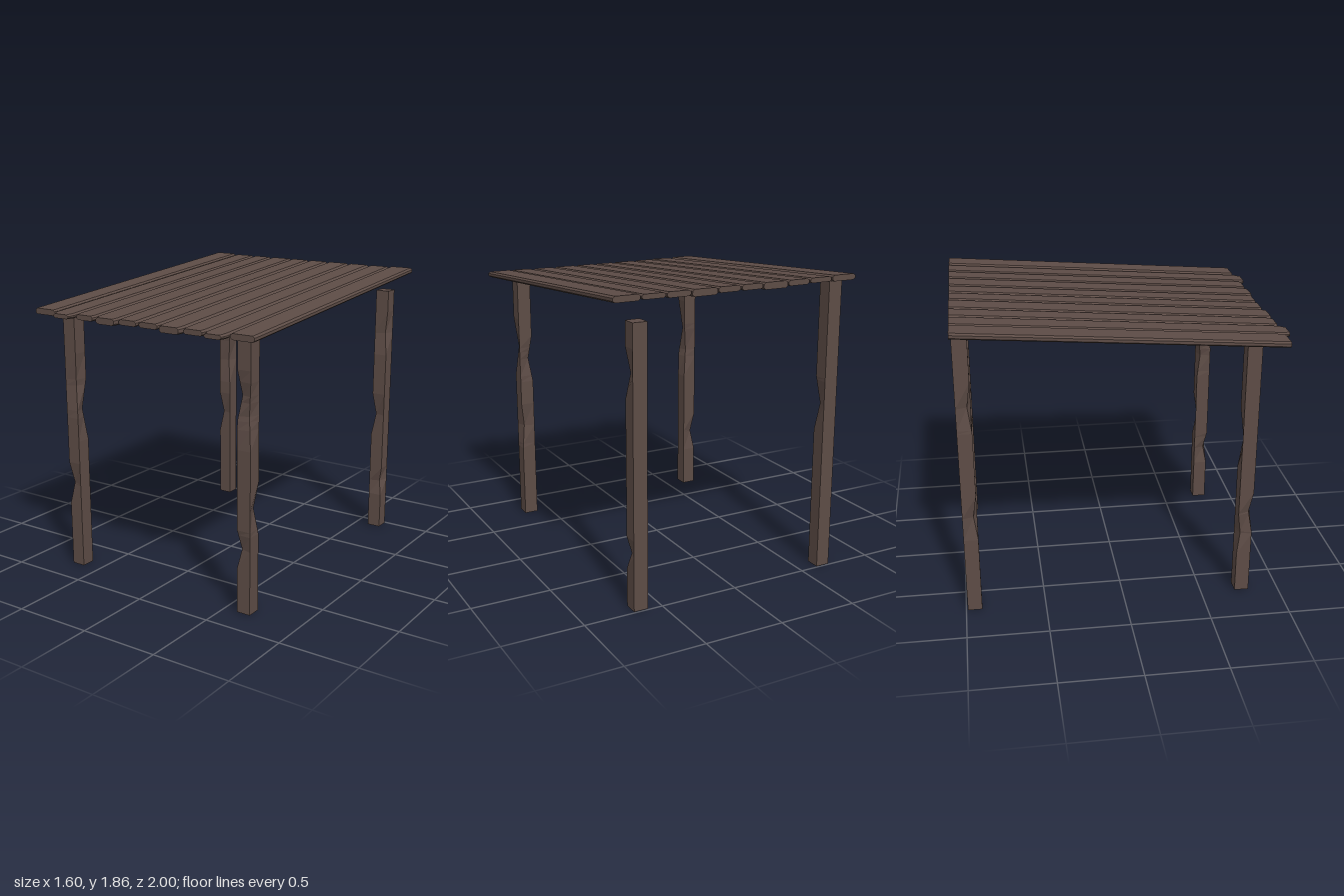
import * as THREE from 'three';

// Skin a list of rings (arrays of [x, y, z]) with flat faces and close both ends.
function loft(rings) {
  const p = [];
  const n = rings[0].length;
  for (let r = 0; r < rings.length - 1; r++) {
    const a = rings[r], b = rings[r + 1];
    for (let i = 0; i < n; i++) {
      const j = (i + 1) % n;
      p.push(...a[i], ...a[j], ...b[j], ...a[i], ...b[j], ...b[i]);
    }
  }
  const first = rings[0], last = rings[rings.length - 1];
  for (let i = 1; i < n - 1; i++) {
    p.push(...first[0], ...first[i + 1], ...first[i]);
    p.push(...last[0], ...last[i], ...last[i + 1]);
  }
  const g = new THREE.BufferGeometry();
  g.setAttribute('position', new THREE.Float32BufferAttribute(p, 3));
  g.computeVertexNormals();
  return g;
}

// Square post; each notch is [cornerX, cornerZ, height, halfLength].
const HALF = 0.045, DEPTH = 0.022;
function postGeometry(height, notches) {
  const ys = [0, height];
  for (const [, , y, h] of notches) ys.push(y - h, y, y + h);
  ys.sort((a, b) => a - b);
  const corners = [[1, 1], [1, -1], [-1, -1], [-1, 1]];
  return loft(ys.map((y) => corners.map(([sx, sz]) => {
    let cut = 0;
    for (const [nx, nz, ny, h] of notches) {
      if (nx === sx && nz === sz) cut = Math.max(cut, DEPTH * (1 - Math.abs(y - ny) / h));
    }
    return [sx * (HALF - cut), y, sz * (HALF - cut)];
  })));
}

// Roof plane: high at the back, low at the front.
const roofY = (z) => 1.86 - 0.0742 * (z + 1);

// Bevelled plank along z, narrowing at its front end.
function plankGeometry(x0, x1, front, thick, drop, taper) {
  const ring = (z, inset, pinch) => {
    const l = x0 + inset, r = x1 - inset, bx = 0.014, by = 0.01;
    const t = roofY(z) - drop - pinch, b = roofY(z) - drop - thick + pinch;
    return [
      [l + bx, b, z], [r - bx, b, z], [r, b + by, z], [r, t - by, z],
      [r - bx, t, z], [l + bx, t, z], [l, t - by, z], [l, b + by, z],
    ];
  };
  return loft([ring(-1, 0, 0), ring(front - taper * 2.5, 0, 0), ring(front, taper, taper * 0.1)]);
}

export function createModel() {
  const group = new THREE.Group();
  const wood = new THREE.MeshStandardMaterial({ color: 0x5d4c46 });
  wood.name = 'darkWood';

  const add = (name, geometry, parent) => {
    const mesh = new THREE.Mesh(geometry, wood);
    mesh.name = name;
    parent.add(mesh);
    return mesh;
  };

  // Posts: name, x, z, height, hewn notches
  const posts = [
    ['frontRightPost', -0.665, 0.765, 1.7,
      [[1, 1, 1.21, 0.21], [-1, 1, 0.56, 0.14], [1, -1, 1.05, 0.2], [-1, -1, 0.41, 0.14]]],
    ['frontLeftPost', 0.635, 0.765, 1.7,
      [[1, 1, 1.21, 0.2], [1, -1, 0.65, 0.16], [-1, 1, 1.33, 0.15], [-1, 1, 0.4, 0.12], [-1, -1, 1.13, 0.16]]],
    ['backLeftPost', 0.635, -0.945, 1.705,
      [[1, 1, 1.41, 0.15], [1, 1, 0.34, 0.1], [-1, 1, 0.83, 0.15]]],
    ['backRightPost', -0.665, -0.945, 1.825,
      [[-1, 1, 1.37, 0.16], [-1, 1, 0.65, 0.15], [1, 1, 1.06, 0.17]]],
  ];
  for (const [name, x, z, height, notches] of posts) {
    add(name, postGeometry(height, notches), group).position.set(x, 0, z);
  }

  // Roof planks: left edge, right edge, front end, thickness, drop, taper
  const roof = new THREE.Group();
  roof.name = 'roof';
  group.add(roof);
  const planks = [
    [-0.8, -0.635, 0.955, 0.037, 0, 0.004],
    [-0.625, -0.475, 1.0, 0.03, 0.004, 0.016],
    [-0.467, -0.322, 0.965, 0.034, 0.004, 0.01],
    [-0.315, -0.152, 0.97, 0.042, 0.004, 0.014],
    [-0.145, -0.006, 0.955, 0.034, 0.004, 0.006],
    [0.004, 0.147, 0.955, 0.034, 0.004, 0.006],
    [0.155, 0.315, 0.97, 0.042, 0.004, 0.014],
    [0.323, 0.472, 0.965, 0.034, 0.004, 0.01],
    [0.48, 0.627, 1.0, 0.03, 0.004, 0.016],
    [0.635, 0.8, 0.955, 0.037, 0, 0.004],
  ];
  planks.forEach((plank, i) => add('roofPlank' + (i + 1), plankGeometry(...plank), roof));

  return group;
}
